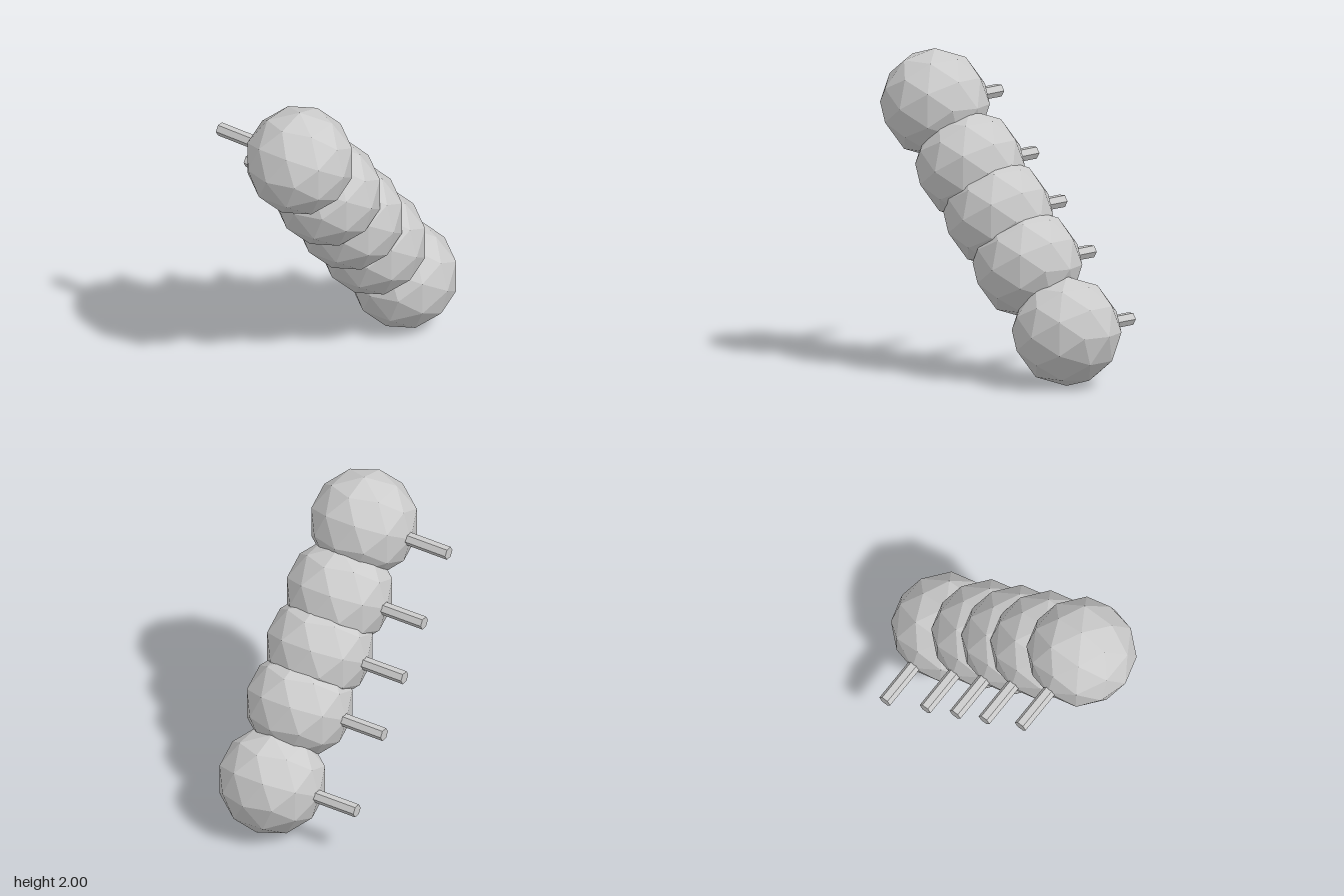
import * as THREE from 'three';

export function createModel() {
  const model = new THREE.Group();
  const grey = new THREE.MeshStandardMaterial({ color: 0xcccccc, flatShading: true });
  grey.name = 'light grey';

  const radius = 0.341;
  const ballZ = 0.138;
  const pegBackZ = -0.48;
  const pegLength = ballZ - pegBackZ;

  // Faceted ball, and a hexagonal peg lying along z with corners left and right
  const ballGeometry = new THREE.IcosahedronGeometry(radius, 1);
  const pegGeometry = new THREE.CylinderGeometry(0.042, 0.042, pegLength, 6);
  pegGeometry.rotateY(Math.PI / 2).rotateX(Math.PI / 2);

  // Centres of the balls, from the top of the chain to the bottom
  const centres = [
    [-0.527, 1.659],
    [-0.246, 1.301],
    [-0.021, 1.023],
    [0.212, 0.734],
    [0.525, 0.346],
  ];

  centres.forEach(([x, y], i) => {
    const segment = new THREE.Group();
    segment.name = `segment${i + 1}`;
    segment.position.set(x, y, 0);

    const ball = new THREE.Mesh(ballGeometry, grey);
    ball.name = 'ball';
    ball.position.z = ballZ;

    // Peg runs from inside the ball out of its back
    const peg = new THREE.Mesh(pegGeometry, grey);
    peg.name = 'peg';
    peg.position.z = pegBackZ + pegLength / 2;

    segment.add(ball, peg);
    model.add(segment);
  });

  return model;
}
